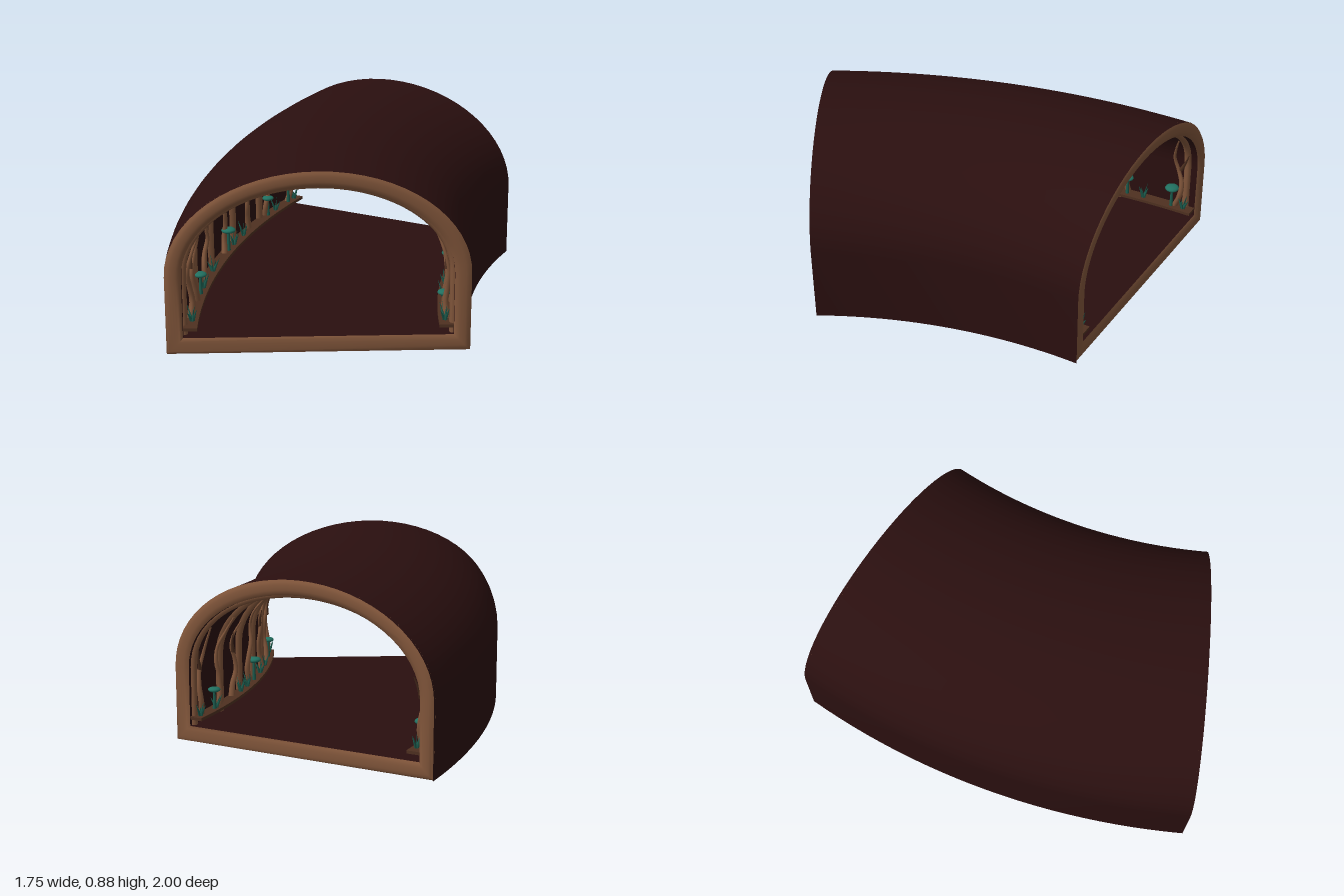
import * as THREE from 'three';
import { toCreasedNormals } from 'three/addons/utils/BufferGeometryUtils.js';

const mat = (name, color, side = THREE.FrontSide) => {
  const m = new THREE.MeshStandardMaterial({ color, side });
  m.name = name;
  return m;
};
const DEG = Math.PI / 180, SWEEP = 30, WALL = 0.077, SPRING = 0.375;

// Tunnel coordinates: u across, y up, deg along the bend
function place(u, y, deg) {
  const r = 3.3 - u, t = deg * DEG;
  return new THREE.Vector3(3.125 - r * Math.cos(t), y, 1 - r * Math.sin(t));
}

// Arch from right foot to left foot, inset from the outer skin
function arch(inset, foot) {
  const a = 0.7 - inset, b = 0.5 - inset, pts = [[a, foot]];
  for (let i = 0; i <= 32; i++) {
    const t = (i / 32) * Math.PI;
    pts.push([a * Math.cos(t), SPRING + b * Math.sin(t)]);
  }
  pts.push([-a, foot]);
  return pts;
}
const ring = (pts, deg) => pts.map(([u, y]) => place(u, y, deg));

// Skin a series of closed rings
function loft(rings, crease = 0.6) {
  const n = rings[0].length, idx = [];
  for (let j = 0; j < rings.length - 1; j++) {
    for (let i = 0; i < n; i++) {
      const a = j * n + i, b = j * n + ((i + 1) % n);
      idx.push(a, a + n, b, b, a + n, b + n);
    }
  }
  const g = new THREE.BufferGeometry().setFromPoints(rings.flat());
  g.setIndex(idx);
  return toCreasedNormals(g, crease);
}

// Tube that narrows from r0 to r1
function taperedTube(pts, r0, r1, segs = 20, sides = 7) {
  const curve = new THREE.CatmullRomCurve3(pts);
  const g = new THREE.TubeGeometry(curve, segs, 1, sides, false);
  const p = g.attributes.position, v = new THREE.Vector3();
  for (let i = 0; i <= segs; i++) {
    const c = curve.getPointAt(i / segs), r = r0 + (r1 - r0) * (i / segs);
    for (let j = 0; j <= sides; j++) {
      const k = i * (sides + 1) + j;
      v.fromBufferAttribute(p, k).sub(c).multiplyScalar(r).add(c);
      p.setXYZ(k, v.x, v.y, v.z);
    }
  }
  return g;
}

// Half width of the inner wall at height y
function wallU(y) {
  const k = Math.max(0, y - SPRING) / (0.5 - WALL);
  return (0.7 - WALL) * Math.sqrt(Math.max(0, 1 - k * k));
}

export function createModel() {
  const model = new THREE.Group();
  model.name = 'curvedTunnel';
  const earth = mat('dark earth', 0x2a0f0f);
  const wood = mat('brown wood', 0x80553a, THREE.DoubleSide);
  const darkWood = mat('dark wood', 0x4e3020, THREE.DoubleSide);
  const teal = mat('teal cap', 0x217060);
  const leafMat = mat('teal leaf', 0x1c5c4e, THREE.DoubleSide);
  const add = (name, geo, m, parent = model) => {
    const mesh = new THREE.Mesh(geo, m);
    mesh.name = name;
    parent.add(mesh);
    return mesh;
  };

  // Outer skin and inner lining
  const steps = Array.from({ length: 25 }, (_, i) => (i / 24) * SWEEP);
  const lip = 0.22;
  const inside = (d) => lip + (d * (SWEEP - 2 * lip)) / SWEEP;
  add('outerShell', loft(steps.map((d) => ring(arch(0, 0), d))), earth);
  add('innerLining', loft([...steps].reverse().map((d) => ring(arch(WALL, WALL), inside(d)))), earth);

  // Softly rounded rims at both mouths
  const rim = [];
  for (let k = 0; k <= 6; k++) {
    const t = k / 6, inset = WALL * t;
    rim.push([arch(inset, inset), lip * (1 - Math.sqrt(Math.max(0, 1 - (2 * t - 1) ** 2)))]);
  }
  add('backRim', loft(rim.map(([p, d]) => ring(p, SWEEP - d)), 0.9), wood);
  add('frontRim', loft([...rim].reverse().map(([p, d]) => ring(p, d)), 0.9), wood);

  // Arched ribs
  for (let i = 0; i < 6; i++) {
    const deg = 1 + i * 5.6, end = i === 0 || i === 5;
    const curve = new THREE.CatmullRomCurve3(ring(arch(WALL, WALL), deg));
    add('rib', new THREE.TubeGeometry(curve, 64, end ? 0.02 : 0.027, 8), wood);
  }

  for (const side of [-1, 1]) {
    // Narrow ledge along each wall
    const lo = side < 0 ? -0.622 : 0.557, hi = lo + 0.065;
    const box = [[lo, 0.11], [hi, 0.11], [hi, 0.125], [lo, 0.125]];
    const cap = box.map(() => [(lo + hi) / 2, 0.1175]);
    const rings = steps.map((d) => ring(box, inside(d)));
    rings.unshift(ring(cap, lip));
    rings.push(ring(cap, SWEEP - lip));
    add('ledge', loft(rings, 0.4), darkWood);

    // Wavy roots climbing the walls, each with a small dark offshoot
    [2.2, 5, 9.5, 15, 20.5, 24.4, 28.4].forEach((deg, i) => {
      const top = 0.52 + 0.07 * Math.abs(Math.sin(i * 2.1 + side));
      const pts = [];
      for (let k = 0; k <= 6; k++) {
        const y = 0.12 + ((top - 0.12) * k) / 6;
        const d = deg + 0.35 * Math.sin(k * 1.3 + i * 2);
        pts.push(place(side * (wallU(y) - 0.026 - 0.008 * Math.sin(k * 1.7 + i)), y, d));
      }
      add('root', taperedTube(pts, 0.017, 0.004), wood);
      if (i % 2) return;
      const shoot = [0.36, 0.41, 0.47].map((y, k) =>
        place(side * (wallU(y) - 0.03), y, deg + 0.2 + k * 0.35));
      add('offshoot', taperedTube(shoot, 0.011, 0.002, 8, 6), darkWood);
    });

    // Mushrooms on the ledges
    const spots = side < 0 ? [6.5, 15.5, 24.2, 28] : [3.5, 14, 26];
    spots.forEach((deg, i) => {
      const g = new THREE.Group();
      g.name = 'mushroom';
      g.position.copy(place(side * 0.585, 0.12, deg));
      const h = 0.1 + 0.012 * (i % 2), r = 0.032 + 0.006 * (i % 2);
      const stem = add('mushroomStem', new THREE.CylinderGeometry(0.006, 0.01, h, 8), leafMat, g);
      stem.position.y = h / 2;
      const head = add('mushroomCap', new THREE.SphereGeometry(r, 14, 8), teal, g);
      head.scale.y = 0.42;
      head.position.y = h + 0.004;
      model.add(g);
    });

    // Leaf tufts on the ledges
    [1.5, 7.6, 11, 16.8, 19, 25.6, 29].forEach((deg, i) => {
      const g = new THREE.Group();
      g.name = 'leafTuft';
      g.position.copy(place(side * 0.585, 0.122, deg));
      for (let k = 0; k < 5; k++) {
        const len = 0.065 + 0.012 * ((k + i) % 3);
        const geo = new THREE.ConeGeometry(0.011, len, 5).translate(0, len / 2, 0).scale(1, 1, 0.4);
        const leaf = add('leaf', geo, leafMat, g);
        leaf.rotation.set(0, (k / 5) * Math.PI * 2 + i, -0.35 - 0.12 * (k % 2), 'YXZ');
      }
      model.add(g);
    });
  }
  return model;
}
